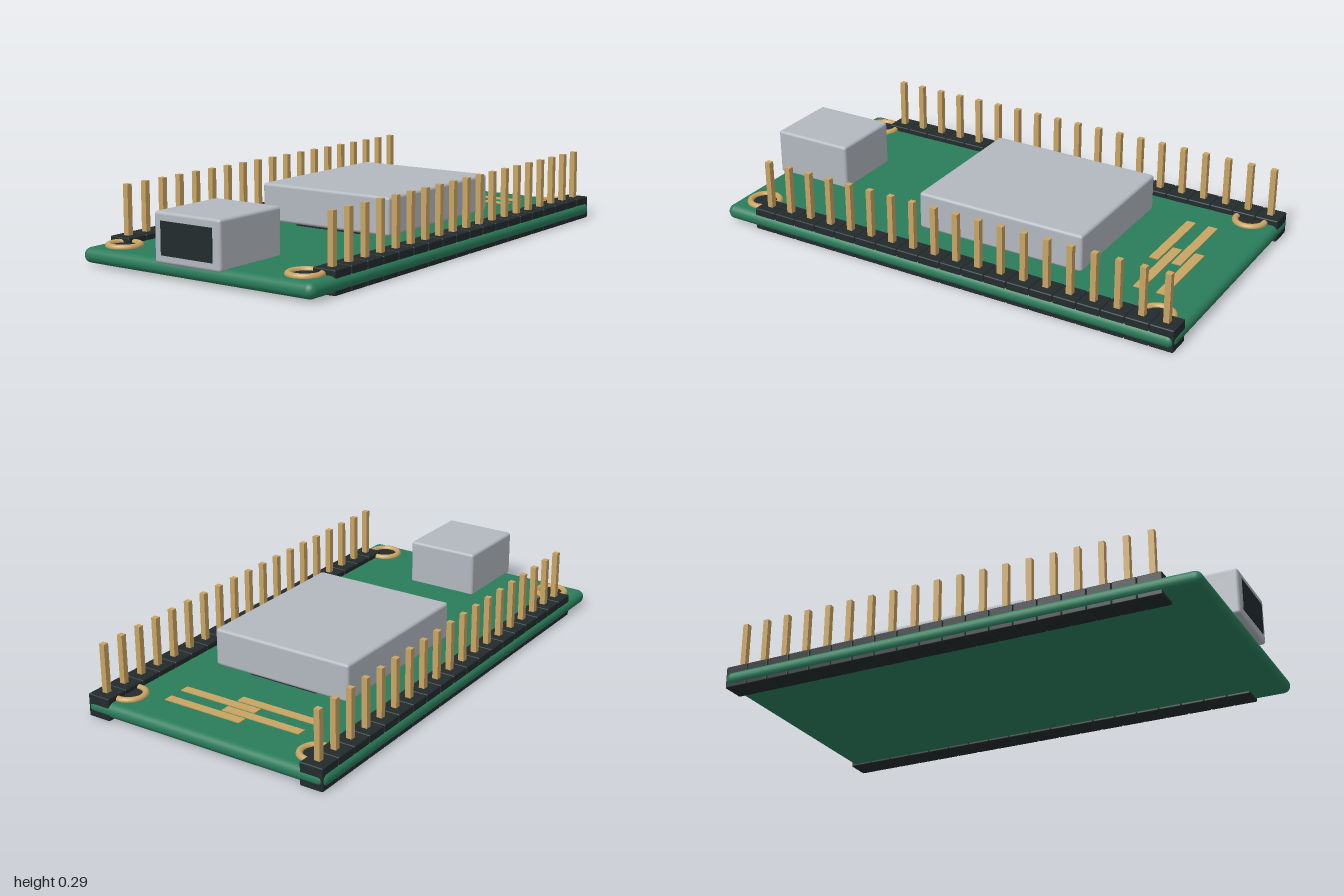
import * as THREE from 'three';
import { RoundedBoxGeometry } from 'three/addons/geometries/RoundedBoxGeometry.js';

const material = (name, color) => {
  const m = new THREE.MeshStandardMaterial({ color });
  m.name = name;
  return m;
};

export function createModel() {
  const model = new THREE.Group();
  model.name = 'circuitBoard';

  const green = material('boardGreen', 0x2a7d5c);
  const black = material('blackPlastic', 0x222b2d);
  const silver = material('silverMetal', 0xb3b8bf);
  const gold = material('goldContact', 0xc9a462);

  const add = (name, geometry, mat, x, y, z, parent = model) => {
    const mesh = new THREE.Mesh(geometry, mat);
    mesh.name = name;
    mesh.position.set(x, y, z);
    parent.add(mesh);
    return mesh;
  };

  // Box given by its [min, max] on each axis; a radius rounds its edges
  const block = (name, mat, [x0, x1], [y0, y1], [z0, z1], radius = 0, parent = model) => {
    const size = [x1 - x0, y1 - y0, z1 - z0];
    const geometry = radius
      ? new RoundedBoxGeometry(...size, 3, radius)
      : new THREE.BoxGeometry(...size);
    return add(name, geometry, mat, (x0 + x1) / 2, (y0 + y1) / 2, (z0 + z1) / 2, parent);
  };

  // Board with fully rounded rim
  block('board', green, [-0.98, 0.999], [0.01, 0.069], [-0.532, 0.532], 0.029);

  // Shielded chip
  block('chipShield', silver, [-0.197, 0.516], [0.077, 0.229], [-0.304, 0.304], 0.012);
  block('chipBase', black, [-0.18, 0.5], [0.06, 0.08], [-0.15, 0.15]);

  // Connector with dark opening
  block('connectorShell', silver, [-0.996, -0.658], [0.06, 0.248], [-0.152, 0.152], 0.012);
  block('connectorOpening', black, [-1, -0.992], [0.092, 0.216], [-0.118, 0.118]);

  // Mounting holes with plated rings
  const ringGeometry = new THREE.TorusGeometry(0.059, 0.013, 10, 32).rotateX(Math.PI / 2);
  const holeGeometry = new THREE.CylinderGeometry(0.052, 0.052, 0.02, 32);
  for (const x of [-0.868, 0.884]) {
    for (const z of [-0.42, 0.42]) {
      add('mountingRing', ringGeometry, gold, x, 0.072, z);
      add('mountingHole', holeGeometry, black, x, 0.063, z);
    }
  }

  // Antenna traces, alternately shifted
  for (let i = 0; i < 4; i++) {
    const x = 0.692 + i * 0.0463;
    const z = i % 2 ? 0.111 : -0.117;
    block('antennaTrace', gold, [x - 0.019, x + 0.019], [0.064, 0.0725], [z - 0.171, z + 0.171]);
  }

  // Two pin headers, each with 19 segments
  const pitch = 0.0965;
  const segment = new RoundedBoxGeometry(pitch - 0.001, 0.091, 0.096, 2, 0.005);
  const pin = new THREE.BoxGeometry(0.023, 0.225, 0.023);
  for (const side of [1, -1]) {
    const header = new THREE.Group();
    header.name = side > 0 ? 'frontPinHeader' : 'backPinHeader';
    header.position.z = side * 0.475;
    model.add(header);
    for (let i = 0; i < 19; i++) {
      const x = -0.789 + i * pitch;
      add('headerSegment', segment, black, x, 0.0455, 0, header);
      add('pin', pin, gold, x, 0.1735, 0, header);
    }
  }

  return model;
}
